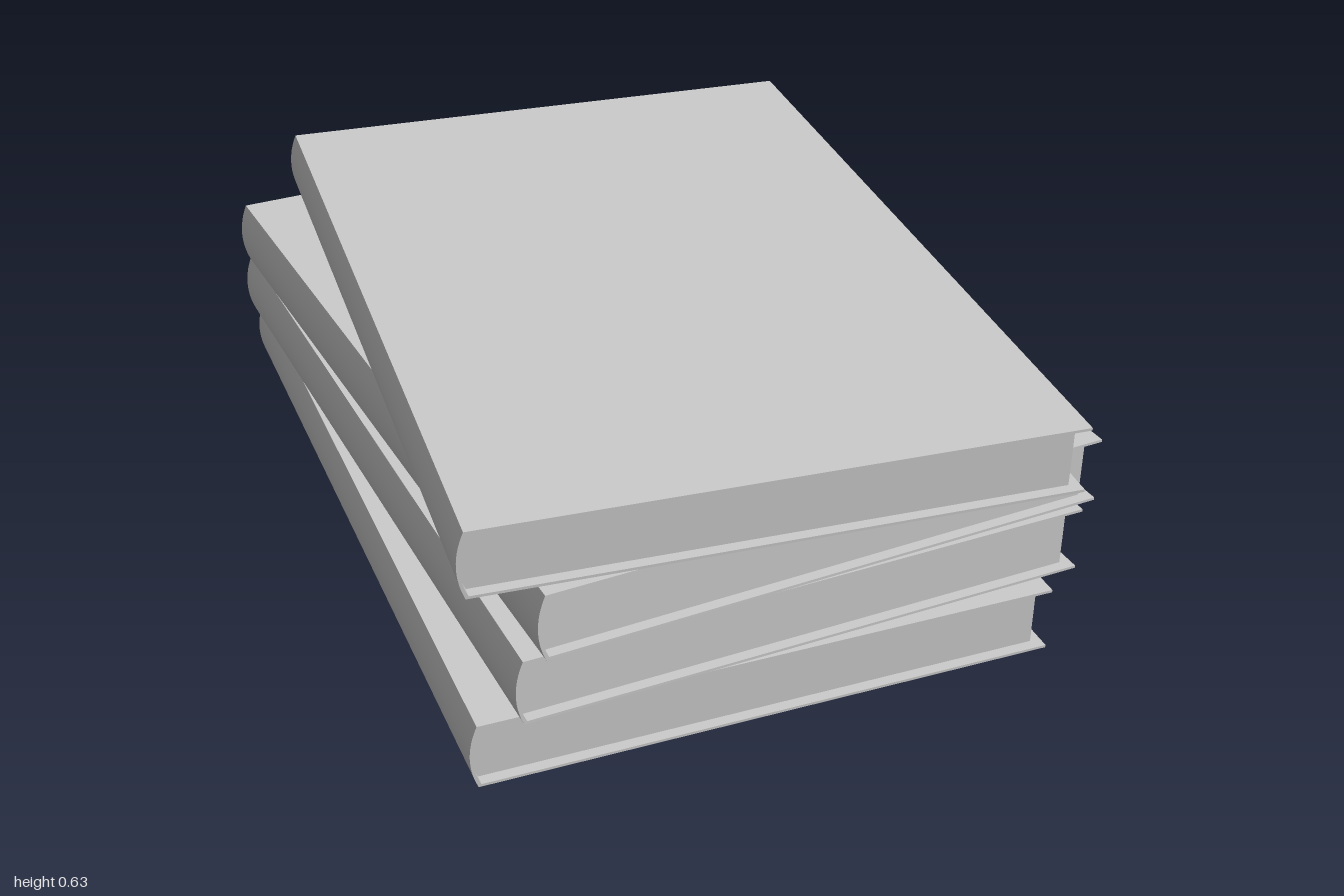
import * as THREE from 'three';
import { toCreasedNormals } from 'three/addons/utils/BufferGeometryUtils.js';

const W = 1.283, L = 1.835, H = 0.15;   // book width, length, thickness
const T = 0.006, BULGE = 0.016;         // cover thickness, spine bulge
const INSET = 0.024;                    // page block set back from the cover edges

const material = new THREE.MeshStandardMaterial({ color: 0xcccccc });

// Rounded spine line from the bottom up, bulging towards -x
function spine(x, y0, y1, bulge, steps = 16) {
  return Array.from({ length: steps + 1 }, (_, i) => {
    const t = i / steps;
    return new THREE.Vector2(x - bulge * 4 * t * (1 - t), y0 + (y1 - y0) * t);
  });
}

// Extrude an outline along z, centred, keeping the spine smooth
function extrude(points, depth, name) {
  const geometry = new THREE.ExtrudeGeometry(new THREE.Shape(points), { depth, bevelEnabled: false });
  geometry.translate(0, 0, -depth / 2);
  const mesh = new THREE.Mesh(toCreasedNormals(geometry, 0.5), material);
  mesh.name = name;
  return mesh;
}

function createBook(name) {
  const book = new THREE.Group();
  book.name = name;
  const left = -W / 2 + BULGE, right = W / 2;
  const outer = spine(left, 0, H, BULGE);
  const inner = spine(left + T, T, H - T, BULGE);

  // Hard cover: two boards joined by the spine
  book.add(extrude([
    new THREE.Vector2(right, H - T), ...inner.slice().reverse(),
    new THREE.Vector2(right, T), new THREE.Vector2(right, 0),
    ...outer, new THREE.Vector2(right, H),
  ], L, 'cover'));

  // Page block, rounded where it meets the spine
  book.add(extrude([
    ...inner,
    new THREE.Vector2(right - INSET, H - T), new THREE.Vector2(right - INSET, T),
  ], L - 2 * INSET, 'pages'));
  return book;
}

export function createModel() {
  const model = new THREE.Group();
  model.name = 'bookStack';

  // Each book: x, z and turn about the vertical, from the bottom up
  const places = [
    [-0.048, -0.023, 0],
    [-0.018, -0.034, 0.062],
    [0, -0.037, 0.088],
    [0.004, 0.021, -0.07],
  ];
  places.forEach(([x, z, turn], i) => {
    const book = createBook(`book${i + 1}`);
    book.position.set(x, i * (H + 0.001), z);
    book.rotation.y = turn;
    model.add(book);
  });

  // The whole stack rises slightly towards the back
  const stack = new THREE.Group();
  stack.name = 'stack';
  model.rotation.x = 0.0175;
  model.position.y = 0.0165;
  stack.add(model);
  return stack;
}
